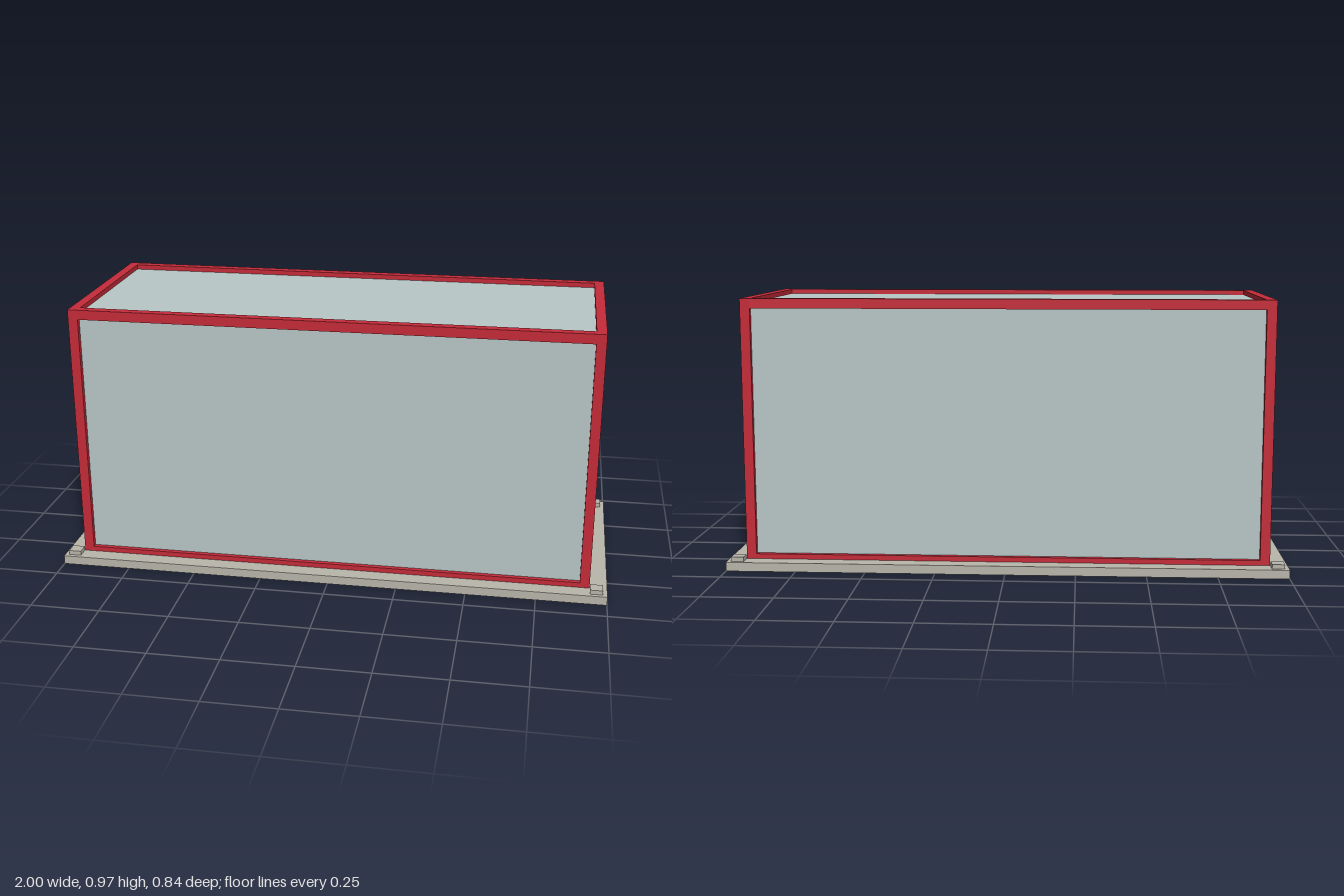
import * as THREE from 'three';

export function createModel() {
  const model = new THREE.Group();
  model.name = 'displayCase';

  const mat = (name, color) => {
    const m = new THREE.MeshStandardMaterial({ color });
    m.name = name;
    return m;
  };
  const stone = mat('warm grey base', 0xbab6ac);
  const red = mat('red frame', 0xc62b39);
  const glass = mat('pale grey-green panel', 0xbac8c8);

  const box = (name, material, size, pos, parent = model) => {
    const mesh = new THREE.Mesh(new THREE.BoxGeometry(...size), material);
    mesh.name = name;
    mesh.position.set(...pos);
    parent.add(mesh);
    return mesh;
  };

  const baseH = 0.032, top = 0.971, halfX = 0.938, halfZ = 0.36;
  const t = 0.035;        // bar thickness
  const sill = 0.018;     // visible height of the bottom rails
  const inset = t / 2;    // panels sit half a bar deep

  // Base slab with a small pad at each corner
  box('baseSlab', stone, [2, baseH, 0.84], [0, baseH / 2, 0]);
  for (const sx of [-1, 1]) for (const sz of [-1, 1]) {
    box('cornerPad', stone, [0.045, 0.016, 0.045], [sx * 0.962, baseH + 0.008, sz * 0.383]);
  }

  // Closed panel body, recessed inside the frame on every side
  const bodyH = top - inset - baseH;
  box('panels', glass, [2 * (halfX - inset), bodyH, 2 * (halfZ - inset)], [0, baseH + bodyH / 2, 0]);

  // Frame: four posts, plus top and bottom rails between them
  const frame = new THREE.Group();
  frame.name = 'frame';
  model.add(frame);
  const px = halfX - t / 2, pz = halfZ - t / 2;
  for (const sx of [-1, 1]) for (const sz of [-1, 1]) {
    box('cornerPost', red, [t, top - baseH, t], [sx * px, (top + baseH) / 2, sz * pz], frame);
  }
  for (const [name, h, y] of [['topRail', t, top - t / 2], ['bottomRail', sill, baseH + sill / 2]]) {
    for (const s of [-1, 1]) {
      box(name + 'Long', red, [2 * (halfX - t), h, t], [0, y, s * pz], frame);
      box(name + 'Short', red, [t, h, 2 * (halfZ - t)], [s * px, y, 0], frame);
    }
  }

  return model;
}
